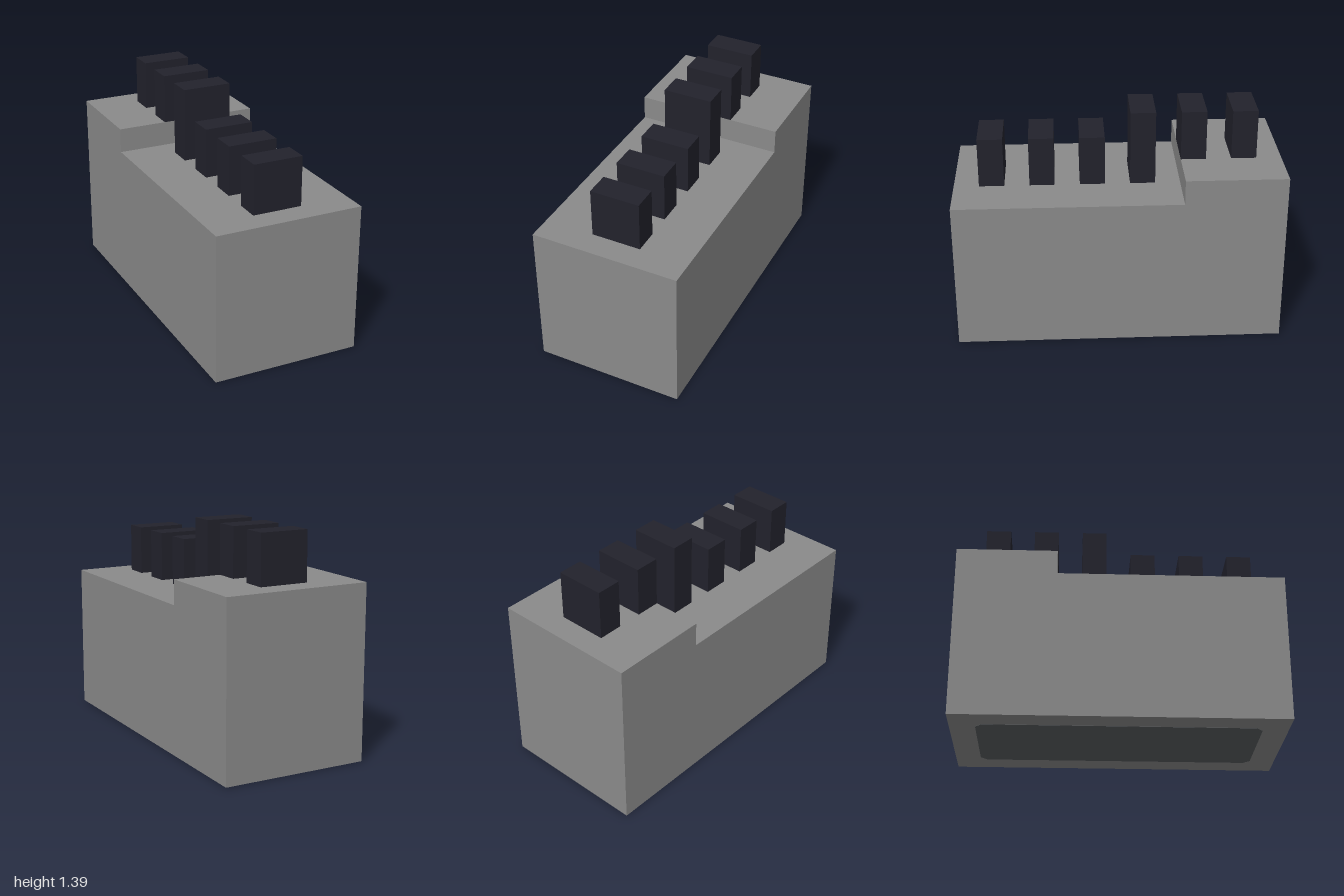
import * as THREE from 'three';

const U = 1 / 13; // modelling unit

export function createModel() {
  const model = new THREE.Group();
  model.name = 'steppedBlock';

  const grey = new THREE.MeshStandardMaterial({ color: 0x8a8a8a });
  grey.name = 'stone grey';
  const dark = new THREE.MeshStandardMaterial({ color: 0x22222c });
  dark.name = 'dark navy';
  const slate = new THREE.MeshStandardMaterial({ color: 0x5a5e60 });
  slate.name = 'slate grey';

  const add = (name, geometry, material) => {
    const mesh = new THREE.Mesh(geometry, material);
    mesh.name = name;
    model.add(mesh);
    return mesh;
  };

  // Stepped body: side profile (z, y) extruded across the width
  const profile = new THREE.Shape(
    [[-13, 0], [13, 0], [13, 12], [-5, 12], [-5, 14], [-13, 14]]
      .map(([z, y]) => new THREE.Vector2(-z * U, y * U)).reverse()
  );
  const bodyGeometry = new THREE.ExtrudeGeometry(profile, { depth: 12 * U, bevelEnabled: false });
  bodyGeometry.translate(0, 0, -6 * U).rotateY(Math.PI / 2);
  add('body', bodyGeometry, grey);

  // Row of upright keys: [centre z, bottom, top]
  const keys = [[10, 12, 16], [6, 12, 16], [2, 12, 16], [-2, 12, 18], [-6, 14, 18], [-10, 14, 18]];
  keys.forEach(([z, bottom, top], i) => {
    const key = add(`key${i + 1}`, new THREE.BoxGeometry(4 * U, (top - bottom) * U, 2 * U), dark);
    key.position.set(0, (bottom + top) / 2 * U, z * U);
  });

  // Thin underside pad with clipped corners
  const w = 4 * U, l = 11 * U, c = 0.5 * U;
  const outline = new THREE.Shape(
    [[w - c, -l], [w, c - l], [w, l - c], [w - c, l], [c - w, l], [-w, l - c], [-w, c - l], [c - w, -l]]
      .map(([x, z]) => new THREE.Vector2(x, z))
  );
  const padGeometry = new THREE.ExtrudeGeometry(outline, { depth: 0.004, bevelEnabled: false });
  padGeometry.rotateX(Math.PI / 2);
  add('undersidePad', padGeometry, slate).position.y = 0.002;

  return model;
}
